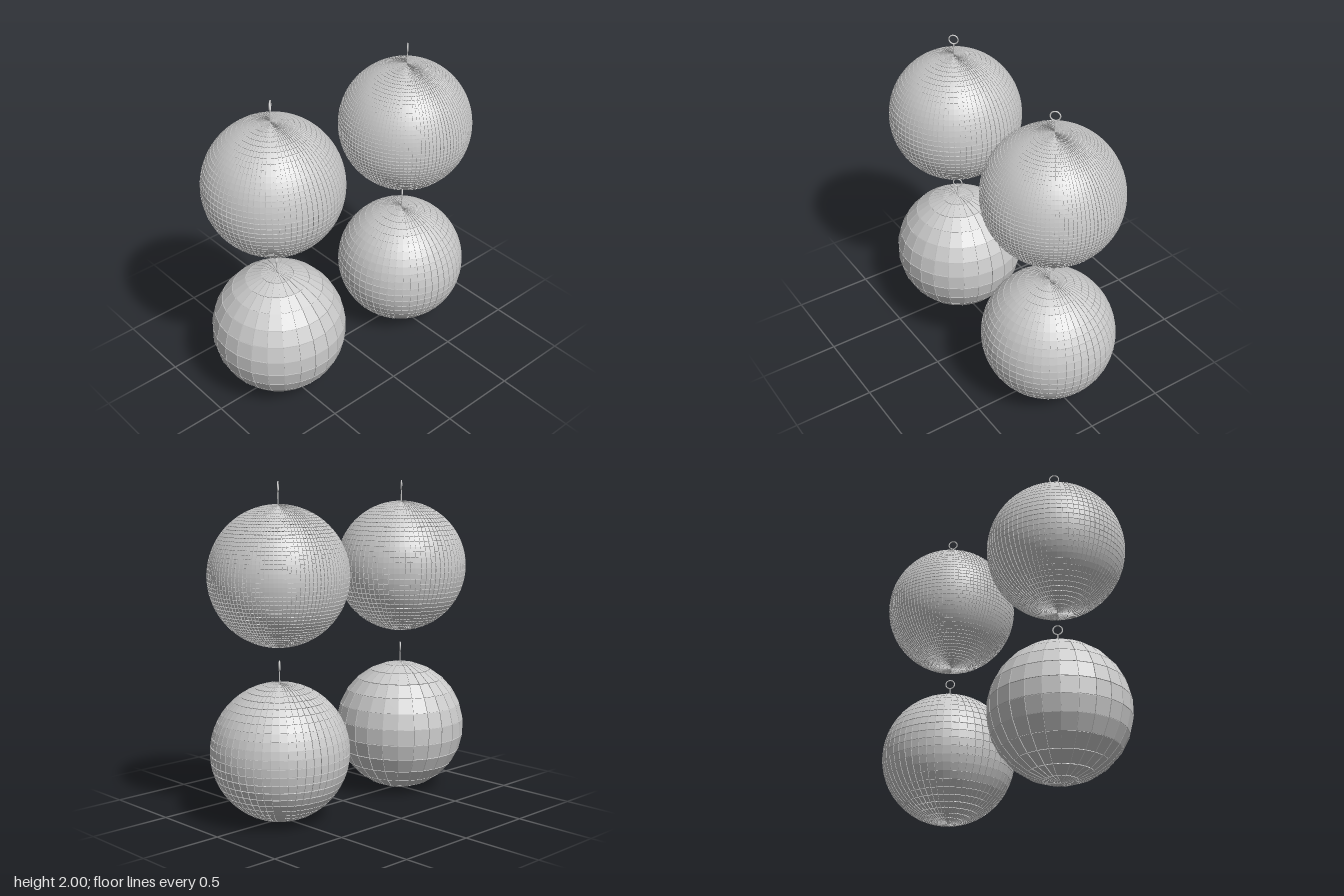
import * as THREE from 'three';

const R = 0.415;       // outer radius of the tiles
const GAP = 0.0045;    // groove between tiles
const DEPTH = 0.006;   // groove depth

const material = new THREE.MeshStandardMaterial({ color: 0xcccccc, flatShading: true });
const smooth = new THREE.MeshStandardMaterial({ color: 0xcccccc });

function onSphere(theta, phi, r) {
  return new THREE.Vector3(
    -r * Math.cos(phi) * Math.sin(theta),
    r * Math.cos(theta),
    r * Math.sin(phi) * Math.sin(theta)
  );
}

// Flat mirror tiles in rows of latitude, each a raised trapezoid with four side walls
function tileGeometry(rows) {
  const columns = rows * 2;
  const step = Math.PI / rows;
  const inset = GAP / 2 / R;
  const positions = [];
  const quad = (a, b, c, d) => {
    for (const p of [a, b, c, a, c, d]) positions.push(p.x, p.y, p.z);
  };
  for (let i = 0; i < rows; i++) {
    const top = i * step + inset;
    const bottom = (i + 1) * step - inset;
    const halfWidth = (theta) => Math.max(step * 0.05, step / 2 - inset / Math.sin(theta));
    for (let j = 0; j < columns; j++) {
      const mid = (j + 0.5) * step;
      const corners = [
        [top, mid - halfWidth(top)],
        [bottom, mid - halfWidth(bottom)],
        [bottom, mid + halfWidth(bottom)],
        [top, mid + halfWidth(top)],
      ];
      const outer = corners.map(([t, p]) => onSphere(t, p, R));
      const inner = corners.map(([t, p]) => onSphere(t, p, R - DEPTH * 1.2));
      quad(...outer);
      for (let k = 0; k < 4; k++) {
        const n = (k + 1) % 4;
        quad(outer[n], outer[k], inner[k], inner[n]);
      }
    }
  }
  const geometry = new THREE.BufferGeometry();
  geometry.setAttribute('position', new THREE.Float32BufferAttribute(positions, 3));
  geometry.computeVertexNormals();
  return geometry;
}

function mirrorBall(rows) {
  const ball = new THREE.Group();
  const add = (name, geometry, mat, y = 0) => {
    const mesh = new THREE.Mesh(geometry, mat);
    mesh.name = name;
    mesh.position.y = y;
    ball.add(mesh);
    return mesh;
  };
  add('core', new THREE.SphereGeometry(R - DEPTH, rows * 2, rows), material);
  add('mirrorTiles', tileGeometry(rows), material);

  // Hanger: a thin stem and a ring turned to the diagonal
  add('hangerStem', new THREE.CylinderGeometry(0.004, 0.004, 0.085, 10), smooth, 0.4425);
  const ring = add('hangerRing', new THREE.TorusGeometry(0.028, 0.004, 8, 28), smooth, 0.513);
  ring.rotation.y = Math.PI / 4;
  return ball;
}

export function createModel() {
  const model = new THREE.Group();
  model.name = 'mirrorBalls';

  // Four balls from coarse to fine tiling: name, rows of tiles, x, y
  const balls = [
    ['coarseBall', 13, -0.52, 0.415],
    ['mediumBall', 26, 0.52, 0.415],
    ['fineBall', 39, -0.52, 1.455],
    ['finestBall', 52, 0.52, 1.455],
  ];
  for (const [name, rows, x, y] of balls) {
    const ball = mirrorBall(rows);
    ball.name = name;
    ball.position.set(x, y, 0);
    model.add(ball);
  }
  return model;
}
